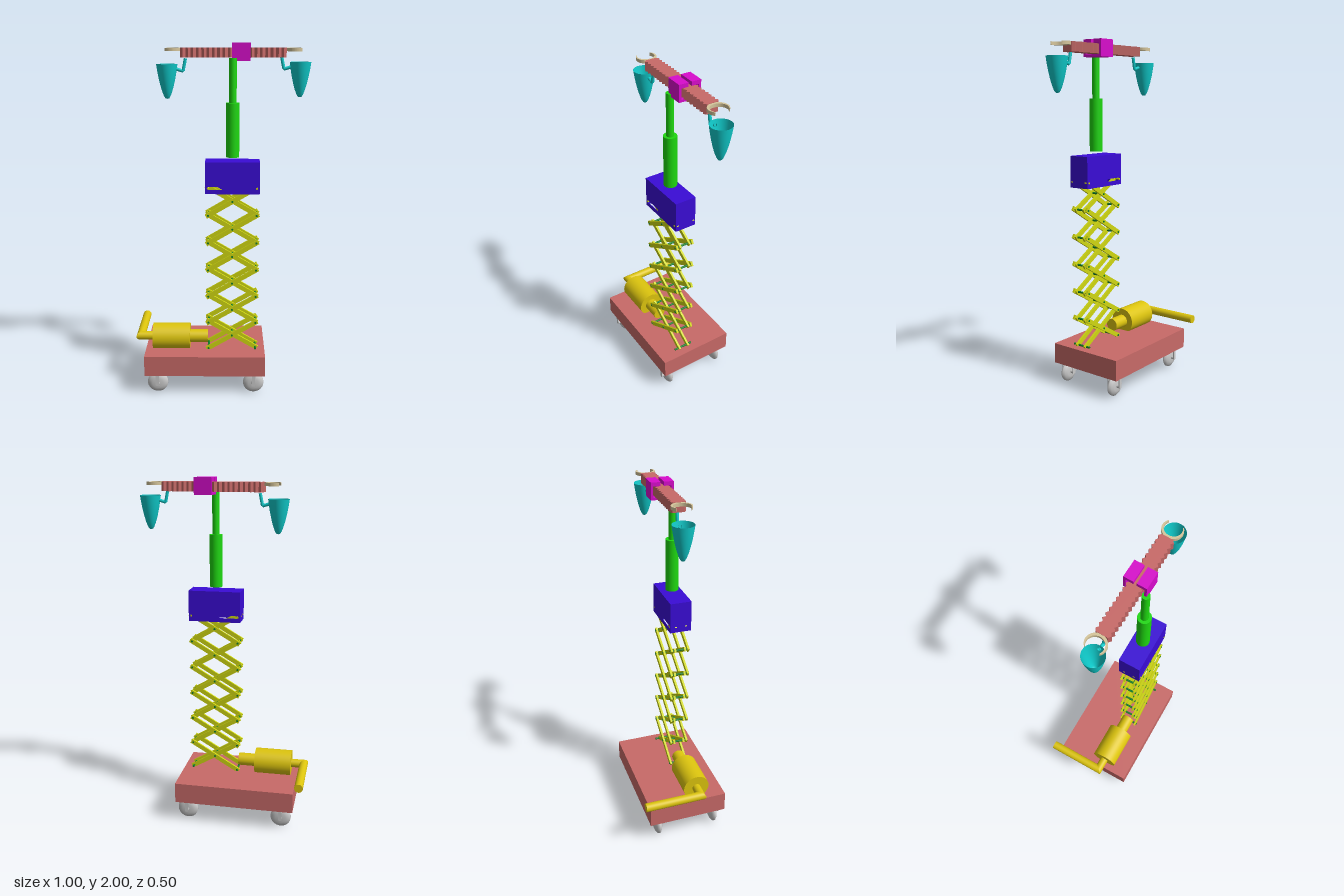
import * as THREE from 'three';

const mat = (name, color, side = THREE.FrontSide) => {
  const m = new THREE.MeshStandardMaterial({ color, side });
  m.name = name;
  return m;
};

export function createModel() {
  const red = mat('dusty red', 0xc86a68);
  const blue = mat('deep blue', 0x3a0cd6);
  const lime = mat('olive yellow', 0xd0d812);
  const gold = mat('gold', 0xdcc40e);
  const green = mat('bright green', 0x1ed810);
  const rodGreen = mat('dark green', 0x12802a);
  const magenta = mat('magenta', 0xd80ccc);
  const cyan = mat('cyan', 0x10cccc, THREE.DoubleSide);
  const tan = mat('tan', 0xd6c69c);
  const grey = mat('light grey', 0xcacaca);

  const model = new THREE.Group();
  model.name = 'scissorLiftCart';

  const add = (name, geo, material, x = 0, y = 0, z = 0, parent = model) => {
    const mesh = new THREE.Mesh(geo, material);
    mesh.name = name;
    mesh.position.set(x, y, z);
    parent.add(mesh);
    return mesh;
  };
  const group = (name, parent = model) => {
    const g = new THREE.Group();
    g.name = name;
    parent.add(g);
    return g;
  };
  const box = (w, h, d) => new THREE.BoxGeometry(w, h, d);
  const cylX = (r, len) => new THREE.CylinderGeometry(r, r, len, 40).rotateZ(Math.PI / 2);
  const cylZ = (r, len, n = 40) => new THREE.CylinderGeometry(r, r, len, n).rotateX(Math.PI / 2);
  const shapeOf = pts => new THREE.Shape(pts.map(p => new THREE.Vector2(...p)));
  const extrude = (shape, depth) => new THREE.ExtrudeGeometry(shape, { depth, bevelEnabled: false });

  // Cart platform
  add('platform', box(0.70, 0.12, 0.465), red, -0.09, 0.18, 0.0175);

  // Casters: lens-shaped wheel, hub, axle and fork
  const wheelProfile = [[0.001, -0.022], [0.03, -0.022], [0.048, -0.015], [0.06, -0.005],
    [0.06, 0.005], [0.048, 0.015], [0.03, 0.022], [0.001, 0.022]].map(p => new THREE.Vector2(...p));
  for (const x of [-0.367, 0.195]) for (const z of [0.198, -0.153]) {
    const caster = group('caster');
    caster.position.set(x, 0.06, z);
    add('wheel', new THREE.LatheGeometry(wheelProfile, 36).rotateX(Math.PI / 2), grey, 0, 0, 0, caster);
    add('axle', cylZ(0.01, 0.084, 16), grey, 0, 0, 0, caster);
    for (const s of [-1, 1]) add('forkPlate', box(0.02, 0.065, 0.005), grey, 0, 0.025, s * 0.04, caster);
    add('forkBridge', box(0.02, 0.005, 0.085), grey, 0, 0.0585, 0, caster);
  }

  // Motor with shaft and mitred pipe
  const my = 0.3, mz = 0.08, px = -0.475;
  add('motorBody', cylX(0.077, 0.22), gold, -0.29, my, mz);
  add('motorShaft', cylX(0.038, 0.11), gold, -0.13, my, mz);
  const mitre = (geo, axis, across, end) => {
    const p = geo.attributes.position;
    for (let i = 0; i < p.count; i++) {
      const a = p.array[i * 3 + axis];
      if (Math.abs(a - end) < 1e-4) p.array[i * 3 + axis] = end - p.array[i * 3 + across];
    }
    return geo;
  };
  add('pipeStub', mitre(cylX(0.025, 0.08).translate(0.04, 0, 0), 0, 2, 0), gold, px, my, mz);
  add('pipeHandle', mitre(cylZ(0.025, 0.335).translate(0, 0, -0.1675), 2, 0, 0), gold, px, my, mz);

  // Scissor stages: crossed bars on both sides, joined by rods
  const scissor = group('scissorLift');
  const xl = -0.07, xr = 0.205, y0 = 0.247, step = 0.1615, xm = (xl + xr) / 2, mid = 0.083;
  const span = Math.hypot(xr - xl, step), tilt = Math.atan2(step, xr - xl);
  for (let i = 0; i < 6; i++) {
    const yc = y0 + (i + 0.5) * step;
    for (const side of [-1, 1]) for (const dir of [-1, 1]) {
      const bar = add('scissorBar', box(span + 0.026, 0.026, 0.012), lime,
        xm, yc, mid + side * (dir > 0 ? 0.05 : 0.03), scissor);
      bar.rotation.z = dir * tilt;
    }
    add('crossRod', cylZ(0.006, 0.118, 12), rodGreen, xm, yc, mid, scissor);
    for (const x of [xl, xr]) add('jointRod', cylZ(0.006, 0.118, 12), rodGreen, x, y0 + i * step, mid, scissor);
  }
  for (const x of [xl, xr]) add('topPin', cylZ(0.006, 0.128, 12), lime, x, 1.212, mid, scissor);

  // Hollow housing, open below, with a slot in its long walls
  const housing = group('housing');
  const wall = shapeOf([[-0.085, 1.18], [0.22, 1.18], [0.22, 1.36], [-0.085, 1.36]]);
  const slot = new THREE.Path();
  slot.absarc(0.033, 1.212, 0.008, -Math.PI / 2, Math.PI / 2);
  slot.absarc(-0.066, 1.212, 0.008, Math.PI / 2, Math.PI * 1.5);
  wall.holes.push(slot);
  for (const z of [0.02, 0.141]) add('housingWall', extrude(wall, 0.004), blue, 0, 0, z, housing);
  for (const x of [-0.083, 0.218]) add('housingEnd', box(0.004, 0.18, 0.118), blue, x, 1.27, 0.0825, housing);
  add('housingTop', box(0.298, 0.006, 0.118), blue, 0.0675, 1.357, 0.0825, housing);

  // Telescopic mast
  add('mastLower', new THREE.CylinderGeometry(0.037, 0.037, 0.3, 40), green, 0.068, 1.53, 0.081);
  add('mastUpper', new THREE.CylinderGeometry(0.021, 0.021, 0.24, 32), green, 0.068, 1.8, 0.081);

  // Cross arm, turned slightly about the mast
  const arm = group('crossArm');
  arm.position.set(0.07, 0, 0.023);
  arm.rotation.y = -0.035;

  // Toothed rack
  const teeth = 20, pitch = 0.58 / teeth, edge = [];
  for (let i = 0; i < teeth; i++) {
    edge.push([-0.29 + i * pitch, 0.031], [-0.29 + (i + 0.5) * pitch, 0.043]);
  }
  edge.push([0.29, 0.031]);
  const rackShape = shapeOf([...edge.map(([x, z]) => [x, -z]), ...edge.slice().reverse()]);
  add('toothedRack', extrude(rackShape, 0.053).rotateX(Math.PI / 2), red, 0, 1.975, 0, arm);

  // Slotted carriage wrapped around the rack
  const carriage = shapeOf([[-0.063, 1.905], [0.063, 1.905], [0.063, 2], [0.009, 2], [0.009, 1.978],
    [0.05, 1.978], [0.05, 1.918], [-0.05, 1.918], [-0.05, 1.978], [-0.009, 1.978], [-0.009, 2], [-0.063, 2]]);
  add('carriage', extrude(carriage, 0.1).rotateY(Math.PI / 2), magenta, -0.005, 0, 0, arm);

  // Tapered open claw outline
  const outer = [], inner = [];
  for (let i = 0; i <= 32; i++) {
    const a = THREE.MathUtils.degToRad(48 + i * 264 / 32);
    const thick = 0.004 + 0.011 * Math.sin(Math.PI * i / 32);
    outer.push([0.05 + 0.052 * Math.cos(a), 0.055 * Math.sin(a)]);
    inner.push([0.05 + (0.052 - thick) * Math.cos(a), (0.055 - thick) * Math.sin(a)]);
  }
  const clawGeo = extrude(shapeOf([...outer, ...inner.reverse()]), 0.018).rotateX(Math.PI / 2);

  // Cup and bent hanger
  const cupProfile = [[0.001, 0], [0.01, 0.002], [0.018, 0.014], [0.028, 0.04], [0.038, 0.075],
    [0.047, 0.115], [0.054, 0.155], [0.059, 0.19]].map(p => new THREE.Vector2(...p));
  const cupGeo = new THREE.LatheGeometry(cupProfile, 40);
  const bend = new THREE.CurvePath();
  const path = [[0.264, 1.928], [0.278, 1.86], [0.32, 1.872]].map(p => new THREE.Vector3(p[0], p[1], 0));
  bend.add(new THREE.LineCurve3(path[0], path[1]));
  bend.add(new THREE.LineCurve3(path[1], path[2]));
  const hangerGeo = new THREE.TubeGeometry(bend, 24, 0.009, 12);

  for (const [name, turn, drop] of [['leftEnd', 0, 0], ['rightEnd', Math.PI, -0.012]]) {
    const end = group(name, arm);
    end.rotation.y = turn;
    add('claw', clawGeo, tan, 0.289, 1.973, 0, end);
    add('hanger', hangerGeo, cyan, 0, drop, 0, end);
    add('cup', cupGeo, cyan, 0.368, 1.708 + drop, 0, end);
  }

  return model;
}
